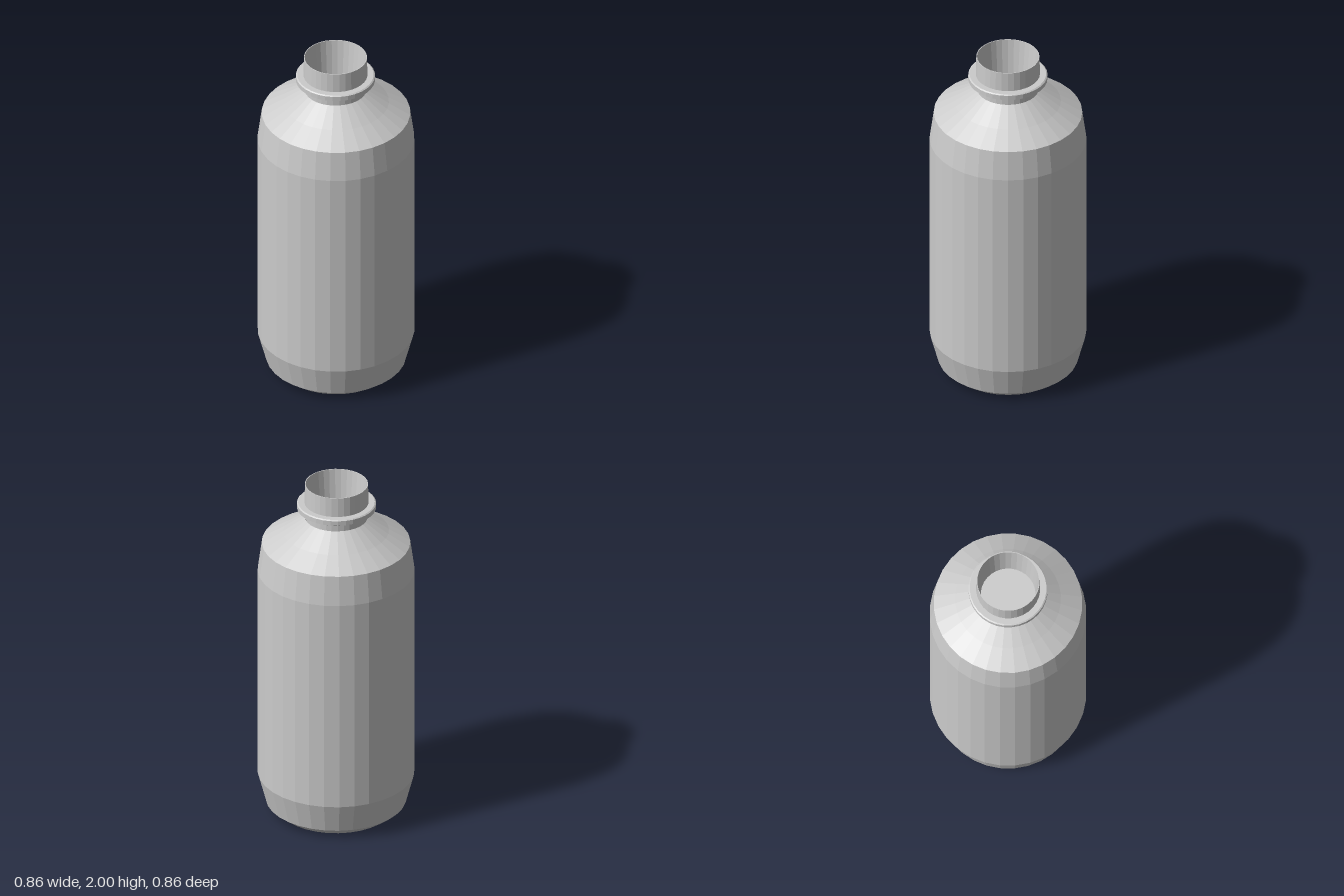
import * as THREE from 'three';

const SIDES = 32;
const material = new THREE.MeshStandardMaterial({ color: 0xcccccc, flatShading: true, side: THREE.DoubleSide });

// Revolves a [radius, height] profile around the vertical axis
function revolve(name, profile) {
  const points = profile.map(([r, y]) => new THREE.Vector2(r, y));
  const mesh = new THREE.Mesh(new THREE.LatheGeometry(points, SIDES), material);
  mesh.name = name;
  return mesh;
}

export function createModel() {
  const bottle = new THREE.Group();
  bottle.name = 'bottle';

  // Hollow underside with a small central bump
  bottle.add(revolve('base', [
    [0, 0.045], [0.025, 0.045], [0.08, 0.065], [0.124, 0.1],
    [0.2, 0.065], [0.25, 0], [0.32, 0], [0.385, 0.05],
  ]));

  // Straight wall, drawn in slightly at both ends
  bottle.add(revolve('body', [
    [0.385, 0.05], [0.43, 0.22], [0.43, 1.47], [0.407, 1.64],
  ]));

  // Conical shoulder, slightly concave
  bottle.add(revolve('shoulder', [[0.407, 1.64], [0.29, 1.712], [0.17, 1.795]]));

  // Neck outside, rim, then the tapered bore with its closed floor
  const neck = new THREE.Group();
  neck.name = 'neck';
  neck.add(revolve('neckWall', [
    [0.17, 1.79], [0.17, 1.85], [0.176, 1.88], [0.173, 2],
    [0.169, 2], [0.15, 1.79], [0, 1.79],
  ]));

  // Carrying flange around the neck
  neck.add(revolve('flange', [
    [0.17, 1.842], [0.205, 1.848], [0.217, 1.855], [0.217, 1.882], [0.21, 1.887], [0.172, 1.887],
  ]));
  neck.position.set(-0.002, 0, -0.002);
  bottle.add(neck);

  return bottle;
}
